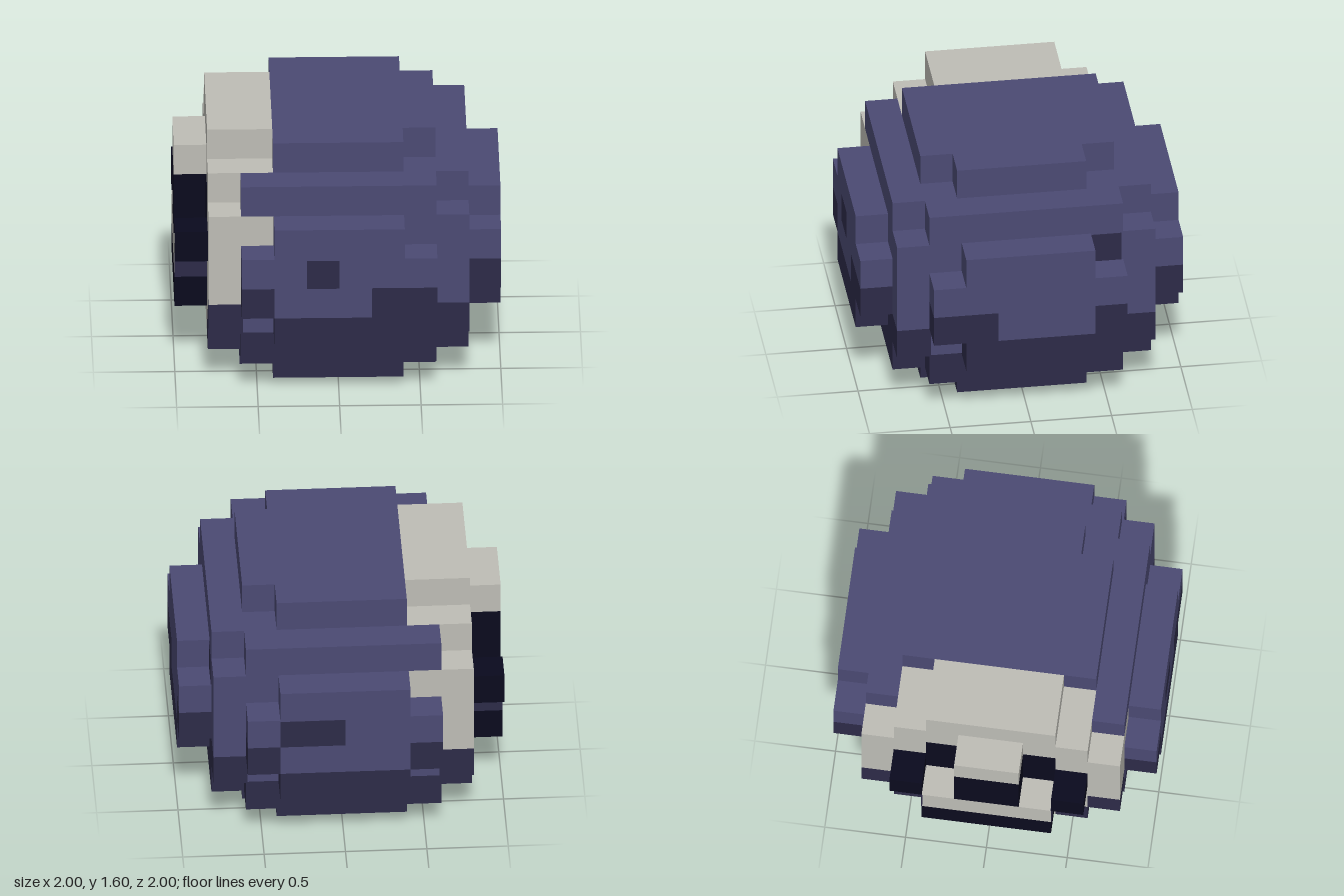
import * as THREE from 'three';

const mat = (name, color) => Object.assign(new THREE.MeshStandardMaterial({ color }), { name });

export function createModel() {
  const root = new THREE.Group();
  root.name = 'blockyHead';
  const purple = mat('purple', 0x4b4a73);
  const dark = mat('darkPurple', 0x2d2b48);
  const bone = mat('bone', 0xbebdb6);
  const black = mat('nearBlack', 0x0a0a1e);

  // Box from its min/max limits
  const box = (name, m, [x0, x1], [y0, y1], [z0, z1]) => {
    const mesh = new THREE.Mesh(new THREE.BoxGeometry(x1 - x0, y1 - y0, z1 - z0), m);
    mesh.position.set((x0 + x1) / 2, (y0 + y1) / 2, (z0 + z1) / 2);
    mesh.name = name;
    root.add(mesh);
  };
  // Same box on the +z and -z sides
  const pair = (name, m, x, y, [a, b]) => {
    box(name, m, x, y, [a, b]);
    box(name, m, x, y, [-b, -a]);
  };

  // Stepped base
  box('baseBottom', dark, [-0.6, 0.6], [0, 0.2], [-0.4, 0.4]);
  pair('baseBottomStep', dark, [-0.4, 0.4], [0, 0.2], [0.4, 0.6]);
  box('baseUpper', dark, [-0.6, 0.8], [0.2, 0.4], [-0.6, 0.6]);
  pair('baseUpperStep', dark, [-0.6, 0.6], [0.2, 0.4], [0.6, 0.8]);
  pair('baseFaceCorner', dark, [-0.8, -0.6], [0.2, 0.4], [0.4, 0.6]);
  box('chin', bone, [-0.8, -0.6], [0.2, 0.4], [-0.4, 0.4]);

  // Core block
  box('coreLower', dark, [-0.6, 0.8], [0.4, 0.6], [-0.8, 0.8]);
  pair('coreLowerCorner', dark, [-0.8, -0.6], [0.4, 0.6], [0.6, 0.8]);
  box('faceLower', bone, [-0.8, -0.6], [0.4, 0.6], [-0.6, 0.6]);
  box('coreMiddle', purple, [-0.6, 0.8], [0.6, 1.0], [-0.8, 0.8]);
  box('coreUpper', purple, [-0.4, 0.8], [1.0, 1.2], [-0.8, 0.8]);
  box('faceMiddle', bone, [-0.8, -0.6], [0.6, 1.2], [-0.8, 0.8]);
  box('faceTemple', bone, [-0.6, -0.4], [1.0, 1.2], [-0.8, 0.8]);

  // Stepped crown
  box('crownLower', purple, [-0.4, 0.8], [1.2, 1.4], [-0.6, 0.6]);
  pair('crownLowerStep', purple, [-0.6, 0.6], [1.2, 1.4], [0.6, 0.8]);
  box('foreheadLower', bone, [-0.8, -0.4], [1.2, 1.4], [-0.6, 0.6]);
  box('crownTop', purple, [-0.4, 0.6], [1.4, 1.6], [-0.4, 0.4]);
  pair('crownTopStep', purple, [-0.4, 0.4], [1.4, 1.6], [0.4, 0.6]);
  box('foreheadTop', bone, [-0.8, -0.4], [1.4, 1.6], [-0.4, 0.4]);

  // Raised panels: rows of [from, to, low, high, material] along the side
  const panel = (name, rows, place) => rows.forEach(([a, b, y0, y1, m]) => place(name, m, [a, b], [y0, y1]));
  const rows = (l, r) => [
    [-0.4, 0.4, 0.4, 0.6, dark],
    [-0.6, l, 0.6, 0.8, dark], [l, r, 0.6, 0.8, purple], [r, 0.6, 0.6, 0.8, dark],
    [-0.6, 0.6, 0.8, 1.0, purple], [-0.4, 0.4, 1.0, 1.2, purple],
  ];
  panel('frontPanel', rows(-0.4, 0.2), (n, m, u, y) => box(n, m, u, y, [0.8, 1]));
  panel('backPanel', rows(-0.4, 0.4), (n, m, u, y) => box(n, m, u, y, [-1, -0.8]));
  panel('sidePanel', rows(-0.4, 0.2), (n, m, u, y) => box(n, m, [0.8, 1], y, u));

  // Painted patches
  const t = 0.004;
  box('frontSpot', dark, [-0.2, 0], [0.8, 0.99], [1 - t, 1 + t / 2]);
  box('backSpot', dark, [0, 0.4], [0.8, 0.99], [-1 - t / 2, -1 + t]);
  box('sideSpot', dark, [0.8 - t, 0.8 + t], [1.0, 1.19], [-0.59, -0.4]);
  box('frontLightPatch', purple, [-0.59, -0.4], [0.41, 0.6], [0.8 - t, 0.8 + t]);
  box('sideLightPatch', purple, [0.8 - t, 0.8 + t], [0.41, 0.6], [0.4, 0.59]);
  for (const x of [-0.59, 0.4]) {
    box('backLightPatch', purple, [x, x + 0.19], [0.41, 0.6], [-0.8 - t, -0.8 + t]);
  }

  // Face on the -x side
  pair('eyeSocket', black, [-0.8 - t, -0.8 + t], [0.8, 1.2], [0.2, 0.4]);
  box('brow', bone, [-1, -0.8], [1.2, 1.4], [-0.2, 0.2]);
  box('nose', black, [-1, -0.8], [0.8, 1.2], [-0.2, 0.2]);
  pair('cheek', black, [-1, -0.8], [0.8, 1.0], [0.4, 0.6]);
  box('teeth', bone, [-1, -0.8], [0.6, 0.8], [-0.4, 0.4]);
  pair('teethEnd', dark, [-1, -0.8], [0.6, 0.8], [0.4 - t, 0.4 + t]);
  box('jaw', black, [-1, -0.8], [0.4, 0.6], [-0.4, 0.4]);

  return root;
}
